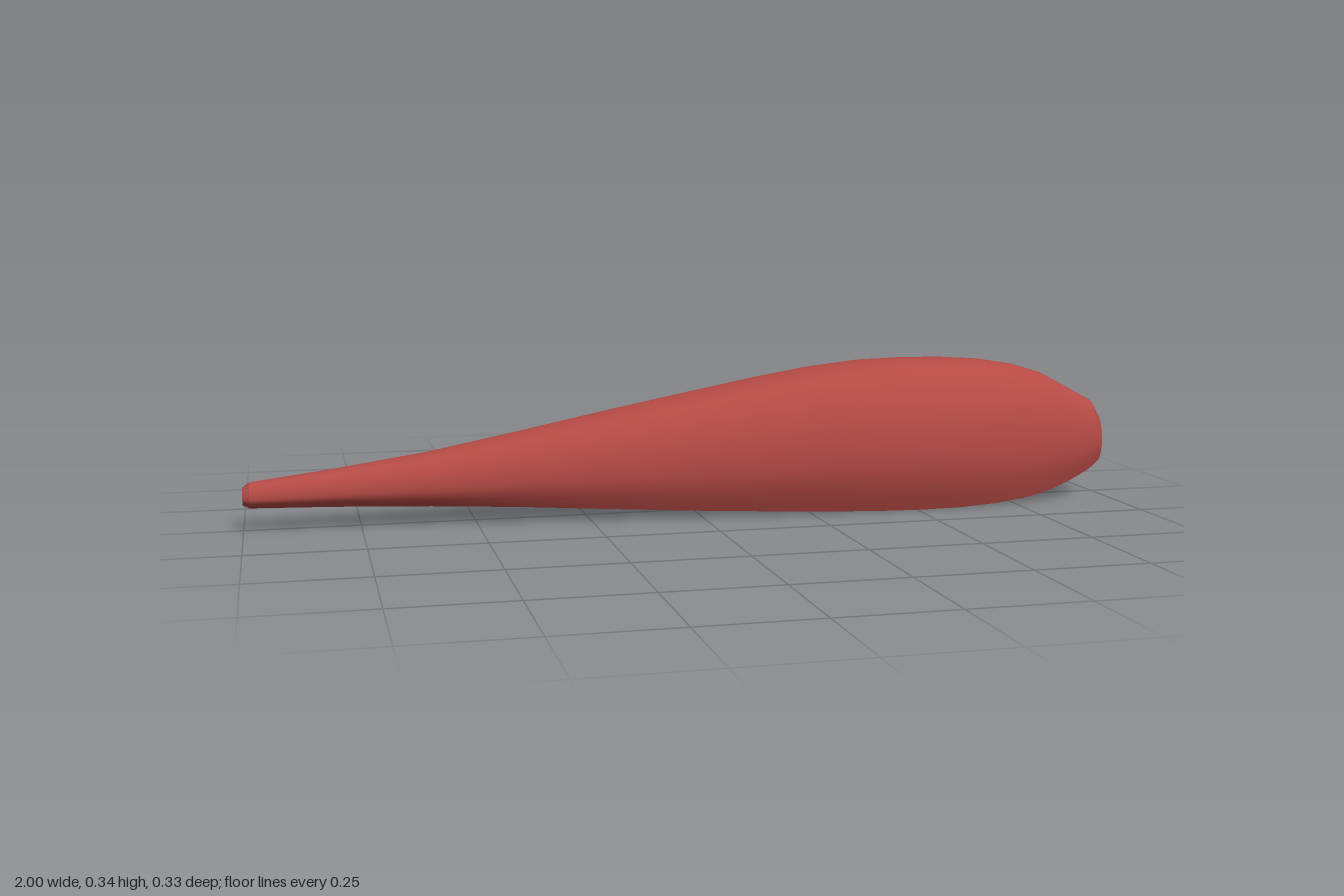
import * as THREE from 'three';

// Stations along the body: x, bottom, top, half width, lower-lip width factor
const BODY = [
  [-0.985, 0.052, 0.105, 0.034, 0.65], [-0.8, 0.049, 0.128, 0.049, 0.75],
  [-0.6, 0.044, 0.157, 0.068, 0.85], [-0.4, 0.037, 0.195, 0.09, 0.95],
  [-0.2, 0.027, 0.235, 0.113, 1], [0, 0.017, 0.273, 0.135, 1],
  [0.15, 0.011, 0.301, 0.15, 1], [0.28, 0.006, 0.322, 0.16, 1],
  [0.4, 0.002, 0.335, 0.165, 1], [0.5, 0, 0.338, 0.164, 1],
  [0.6, 0, 0.337, 0.159, 1], [0.7, 0.004, 0.33, 0.147, 1],
  [0.78, 0.011, 0.317, 0.13, 1], [0.85, 0.024, 0.296, 0.111, 1],
  [0.91, 0.042, 0.265, 0.09, 1], [0.96, 0.062, 0.238, 0.071, 1],
  [0.98, 0.073, 0.228, 0.063, 1],
];
const TAIL_END = [-1, 0.058, 0.094, 0.026, 0.65];
const NOSE_END = [1, 0.086, 0.196, 0.05, 1];

// Outer outline of half a cross-section: z / half width, y / height
const HALF = [
  [0.79, 0], [0.91, 0.14], [0.98, 0.26], [1, 0.38], [0.98, 0.52],
  [0.9, 0.68], [0.72, 0.85], [0.48, 0.95], [0.22, 0.99],
];
const OUTLINE = new THREE.SplineCurve([
  ...HALF.map(([z, y]) => new THREE.Vector2(z, y)),
  new THREE.Vector2(0, 1),
  ...HALF.slice().reverse().map(([z, y]) => new THREE.Vector2(-z, y)),
]).getPoints(36);

function outerSection([x, bottom, top, width, lip]) {
  return OUTLINE.map((p) => {
    const low = Math.max(0, 1 - p.y / 0.35) ** 2;
    return [x, bottom + p.y * (top - bottom), p.x * width * (1 - (1 - lip) * low)];
  });
}

// Channel along the underside, running from the -z lip to the +z lip
function grooveSection([x, bottom, , width, lip]) {
  const apex = 0.097 + 0.021 * x;
  const tip = 0.79 * width * lip;
  const half = [[tip, 0], [tip * 0.6, 0.48], [tip * 0.24, 0.9], [tip * 0.12, 1]];
  const at = ([z, t], s) => [x, bottom + t * (apex - bottom), s * z];
  return [...half.map((p) => at(p, -1)), ...half.slice().reverse().map((p) => at(p, 1))];
}

// Skin between consecutive rows of points
function loft(rows) {
  const n = rows[0].length;
  const index = [];
  for (let i = 0; i < rows.length - 1; i++) {
    for (let j = 0; j < n - 1; j++) {
      const a = i * n + j, b = a + n;
      index.push(a, b, a + 1, b, b + 1, a + 1);
    }
  }
  const geometry = new THREE.BufferGeometry();
  geometry.setAttribute('position', new THREE.Float32BufferAttribute(rows.flat(2), 3));
  geometry.setIndex(index);
  geometry.computeVertexNormals();
  return geometry;
}

// Flat end face with the channel notch
function endFace(station, side) {
  const points = [...outerSection(station), ...grooveSection(station).slice(1, -1)];
  const shape = new THREE.Shape(points.map(([, y, z]) => new THREE.Vector2(z, y)));
  return new THREE.ShapeGeometry(shape).rotateY(side * Math.PI / 2).translate(station[0], 0, 0);
}

export function createModel() {
  const group = new THREE.Group();
  const red = new THREE.MeshStandardMaterial({ color: 0xb54a45 });
  red.name = 'muted red';
  const add = (name, geometry, material = red) => {
    const mesh = new THREE.Mesh(geometry, material);
    mesh.name = name;
    group.add(mesh);
  };

  // Smooth tapered shell
  add('outerShell', loft(BODY.map(outerSection)));

  // Faceted channel underneath
  const stations = [TAIL_END, ...BODY, NOSE_END];
  add('undersideGroove', loft(stations.map(grooveSection)).toNonIndexed());
  group.children[1].geometry.computeVertexNormals();

  // Bevelled ends, kept apart so that their rims stay crisp
  add('tailBevel', loft([TAIL_END, BODY[0]].map(outerSection)));
  add('tailFace', endFace(TAIL_END, -1));
  add('noseBevel', loft([BODY[BODY.length - 1], NOSE_END].map(outerSection)));
  add('noseFace', endFace(NOSE_END, 1));

  return group;
}
